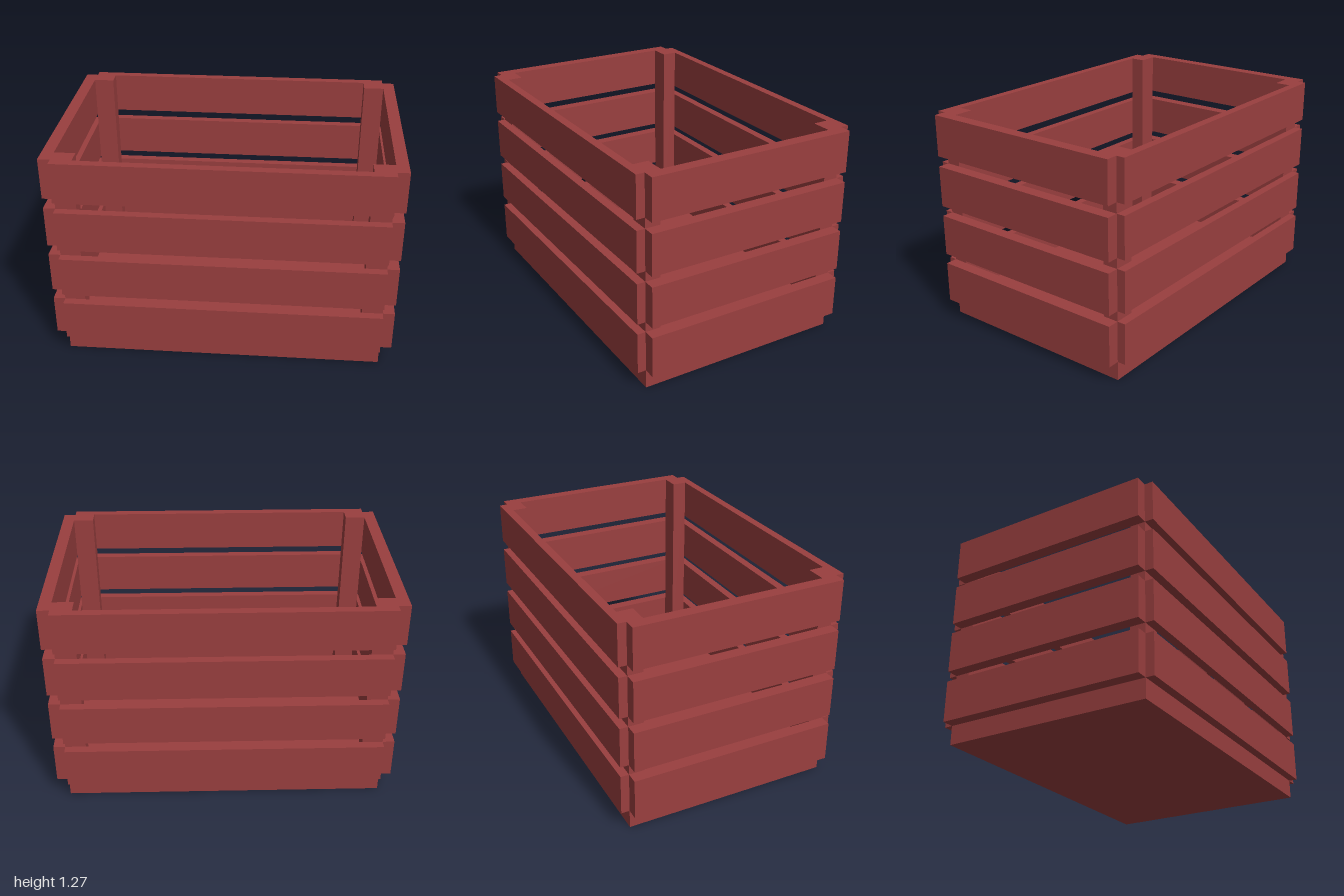
import * as THREE from 'three';

export function createModel() {
  const crate = new THREE.Group();
  crate.name = 'crate';
  const material = new THREE.MeshStandardMaterial({ color: 0x9a3f3f });

  // Box given by its lower and upper limits on each axis
  function board(name, [x0, x1], [y0, y1], [z0, z1]) {
    const mesh = new THREE.Mesh(new THREE.BoxGeometry(x1 - x0, y1 - y0, z1 - z0), material);
    mesh.position.set((x0 + x1) / 2, (y0 + y1) / 2, (z0 + z1) / 2);
    mesh.name = name;
    crate.add(mesh);
  }
  const mirrored = (side, a, b) => (side > 0 ? [a, b] : [-b, -a]);

  const innerX = 0.93, outerX = 1, innerZ = 0.622, outerZ = 0.672;
  const floorTop = 0.113, top = 1.273, slatHeight = 0.244, rows = 4;
  const pitch = (top - floorTop - slatHeight) / (rows - 1);

  // Solid floor
  board('floor', [-innerX, innerX], [0, floorTop], [-innerZ, innerZ]);

  // Corner posts
  for (const sx of [-1, 1]) {
    for (const sz of [-1, 1]) {
      board('cornerPost', mirrored(sx, 0.81, innerX), [floorTop, top], mirrored(sz, 0.532, innerZ));
    }
  }

  // Four rows of slats around the posts
  for (let i = 0; i < rows; i++) {
    const y = floorTop + i * pitch;
    const span = [y, y + slatHeight];
    for (const s of [-1, 1]) {
      board(s > 0 ? 'frontSlat' : 'backSlat', [-innerX, innerX], span, mirrored(s, innerZ, outerZ));
      board(s > 0 ? 'leftSlat' : 'rightSlat', mirrored(s, innerX, outerX), span, [-innerZ, innerZ]);
    }
  }
  return crate;
}
